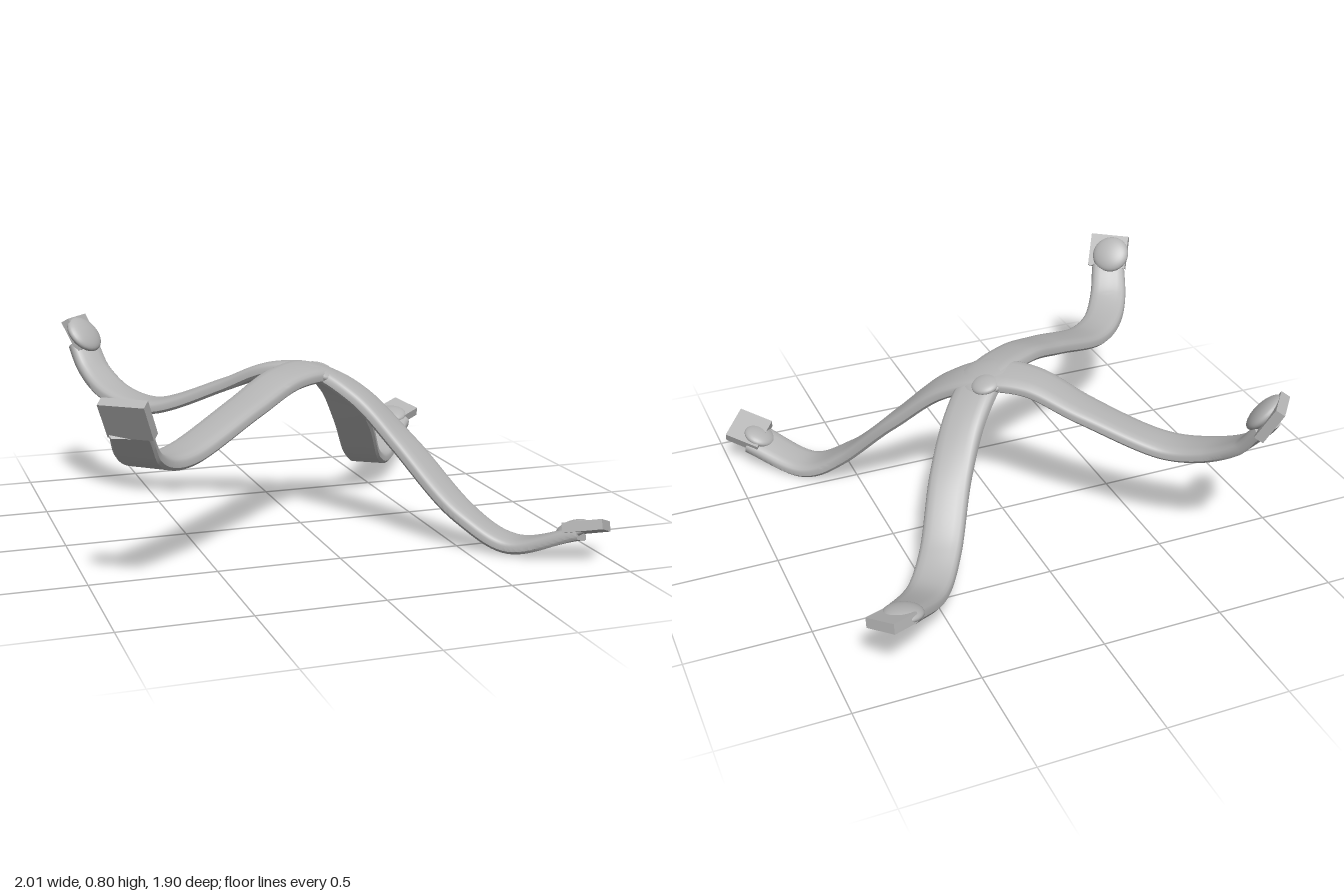
import * as THREE from 'three';
import { toCreasedNormals } from 'three/addons/utils/BufferGeometryUtils.js';

const grey = new THREE.MeshStandardMaterial({ color: 0xb4b4b4 });
grey.name = 'plain grey';

// band section (across, up), from the +side over the domed top to the flat underside
const bandSection = [[0.5, -0.6], [0.5, 0.1], [0.47, 0.5], [0.4, 0.78], [0.25, 0.95], [0, 1],
  [-0.25, 0.95], [-0.4, 0.78], [-0.47, 0.5], [-0.5, 0.1], [-0.5, -0.6], [-0.44, -1], [0.44, -1]];
const plateSection = [[0.5, -1], [0.5, 1], [-0.5, 1], [-0.5, -1]];

// Sweep a section along stations of [x, y, z, width, tilt]
function sweep(name, stations, section, half, steps) {
  const path = new THREE.CatmullRomCurve3(stations.map(s => new THREE.Vector3(s[0], s[1], s[2])));
  const form = new THREE.CatmullRomCurve3(stations.map(s => new THREE.Vector3(s[3], s[4], 0)), false, 'catmullrom', 0.5);
  const up = new THREE.Vector3(0, 1, 0);
  const pos = [], idx = [], n = section.length;
  for (let i = 0; i <= steps; i++) {
    const t = i / steps, p = path.getPoint(t), f = form.getPoint(t), T = path.getTangent(t);
    const S = T.clone().cross(up).normalize();
    S.y += f.y;
    S.normalize();
    const N = S.clone().cross(T).normalize();
    for (const [a, b] of section) {
      const v = p.clone().addScaledVector(S, a * f.x).addScaledVector(N, b * half);
      pos.push(v.x, v.y, v.z);
    }
  }
  for (let i = 0; i < steps; i++) {
    for (let j = 0; j < n; j++) {
      const a = i * n + j, c = i * n + (j + 1) % n;
      idx.push(a, a + n, c, c, a + n, c + n);
    }
  }
  const e = steps * n;
  for (let j = 1; j < n - 1; j++) idx.push(0, j, j + 1, e, e + j + 1, e + j);
  const g = new THREE.BufferGeometry();
  g.setAttribute('position', new THREE.Float32BufferAttribute(pos, 3));
  g.setIndex(idx);
  const mesh = new THREE.Mesh(toCreasedNormals(g, 0.7), grey);
  mesh.name = name;
  return mesh;
}

// Straight flat plate between two centre points
function plate(name, from, to, width, tilt) {
  const stations = [0, 0.5, 1].map(t => [...from.map((v, k) => v + (to[k] - v) * t), width, tilt]);
  return sweep(name, stations, plateSection, 0.02, 2);
}

// Flattened dome facing along a normal
function dome(name, at, normal, r, h) {
  const mesh = new THREE.Mesh(new THREE.SphereGeometry(1, 28, 18), grey);
  mesh.scale.set(r, h, r);
  mesh.position.set(...at);
  mesh.quaternion.setFromUnitVectors(new THREE.Vector3(0, 1, 0), new THREE.Vector3(...normal).normalize());
  mesh.name = name;
  return mesh;
}

export function createModel() {
  const group = new THREE.Group();
  group.name = 'crossedBands';

  // Band from the back right tip through the hub to the front left tip
  const bandA = [
    [-0.775, 0.69, -0.81, 0.14, 0], [-0.74, 0.58, -0.73, 0.15, 0], [-0.665, 0.495, -0.60, 0.165, 0],
    [-0.535, 0.465, -0.455, 0.17, 0], [-0.27, 0.58, -0.25, 0.175, 0.04], [-0.1, 0.668, -0.1, 0.18, 0.12],
    [0.05, 0.668, 0.02, 0.19, 0.18], [0.19, 0.58, 0.15, 0.18, 0.1], [0.34, 0.395, 0.29, 0.17, 0],
    [0.52, 0.145, 0.49, 0.165, 0], [0.67, 0.042, 0.62, 0.165, 0.05], [0.87, 0.12, 0.81, 0.16, 0.3]];
  // Band from the front right tip through the hub to the back left tip
  const bandB = [
    [-0.90, 0.66, 0.81, 0.15, 0], [-0.85, 0.55, 0.705, 0.165, 0], [-0.77, 0.495, 0.60, 0.17, 0],
    [-0.65, 0.487, 0.50, 0.175, 0], [-0.34, 0.60, 0.29, 0.175, -0.04], [-0.13, 0.672, 0.14, 0.18, -0.12],
    [0.05, 0.668, 0.02, 0.19, -0.18], [0.19, 0.565, -0.10, 0.18, -0.1], [0.305, 0.39, -0.23, 0.17, 0],
    [0.43, 0.18, -0.43, 0.165, 0], [0.535, 0.125, -0.575, 0.165, 0], [0.74, 0.235, -0.82, 0.155, -0.2]];
  group.add(sweep('firstBand', bandA, bandSection, 0.028, 132));
  group.add(sweep('secondBand', bandB, bandSection, 0.028, 132));

  // Hub blending the crossing, with a shallow button on top
  group.add(dome('hub', [0.05, 0.66, 0.02], [0.3, 1, 0], 0.125, 0.038));
  group.add(dome('hubButton', [0.08, 0.665, -0.05], [0.3, 1, -0.1], 0.06, 0.025));

  // Flat plates at the four tips
  group.add(plate('frontLeftPlate', [0.825, 0.13, 0.775], [0.94, 0.165, 0.88], 0.16, 0.35));
  group.add(plate('backLeftPlate', [0.72, 0.245, -0.825], [0.83, 0.27, -0.89], 0.14, -0.25));
  group.add(plate('frontRightPlate', [-0.895, 0.65, 0.815], [-0.94, 0.78, 0.875], 0.175, 0));
  group.add(plate('backRightPlate', [-0.755, 0.67, -0.805], [-0.81, 0.80, -0.85], 0.155, 0));

  // Rounded pads on the inner faces of the tips
  group.add(dome('frontLeftPad', [0.845, 0.133, 0.79], [-0.3, 0.9, -0.2], 0.07, 0.03));
  group.add(dome('backLeftPad', [0.72, 0.25, -0.825], [-0.1, 0.95, 0.2], 0.078, 0.03));
  group.add(dome('frontRightPad', [-0.91, 0.715, 0.81], [0.5, 0.6, -0.5], 0.085, 0.035));
  group.add(dome('backRightPad', [-0.775, 0.735, -0.785], [0.5, 0.6, 0.5], 0.09, 0.035));

  // Rest on the ground, centred
  const box = new THREE.Box3().setFromObject(group, true);
  const c = box.getCenter(new THREE.Vector3());
  for (const m of group.children) m.position.sub(new THREE.Vector3(c.x, box.min.y, c.z));
  return group;
}
